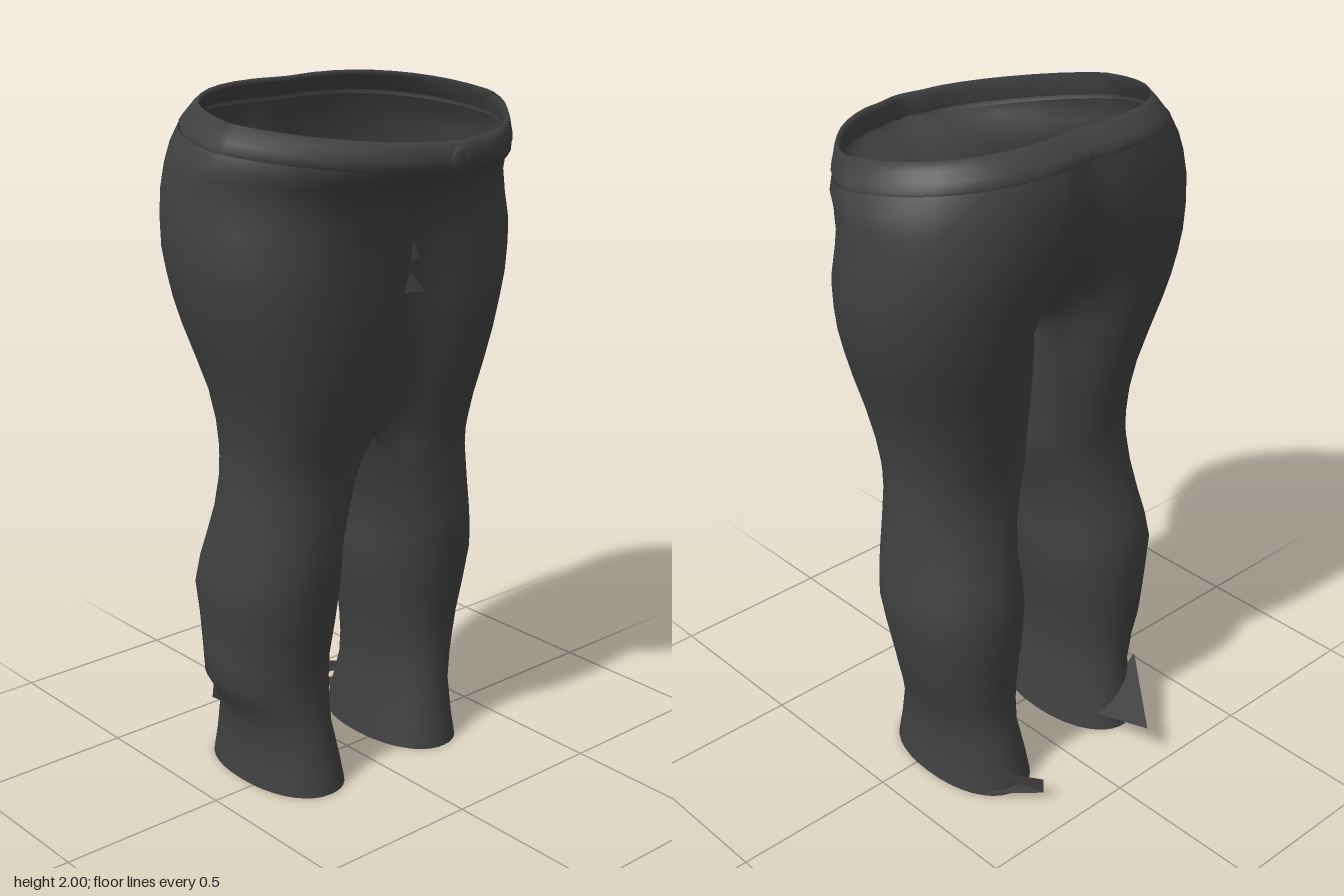
import * as THREE from 'three';
import { mergeVertices } from 'three/addons/utils/BufferGeometryUtils.js';

// Ring parameters: inner front, outer side, inner back, inner thigh (degrees)
const RING = [];
for (let i = 0; i < 5; i++) RING.push(130 - 8 * i);
for (let i = 0; i < 18; i++) RING.push(90 - 10 * i);
for (let i = 0; i < 5; i++) RING.push(-90 - 8 * i);
const OUTER = 28; // segments that exist on every row
for (let i = 0; i < 8; i++) RING.push(-130 - 12.5 * i);

const { lerp } = THREE.MathUtils;

// Point on a row: a leg oval blended into half of a torso outline.
// xi, xm, xo: inner, middle and outer x; zf, zb: front and back z;
// jf, jb: z on the centre line; wf, wb: blend to the torso at front and back
function ringPoint(row, k, side) {
  const { y, xi = 0, xm, xo, zf, zb, jf = 0, jb = 0, wf = 1, wb = 1, tilt = 0, power = 0.92 } = row;
  const deg = RING[k % RING.length];
  const a = THREE.MathUtils.degToRad(deg);
  const c = Math.cos(a), s = Math.sin(a);
  const p = s > 0 && c > 0 ? power : 0.92;
  const soft = (v) => Math.sign(v) * Math.pow(Math.abs(v), p);
  let x = xm + soft(c) * (c > 0 ? xo - xm : xm - xi);
  let z = (zf + zb) / 2 + soft(s) * (zf - zb) / 2;
  if (deg > 90 || (deg < -90 && deg >= -130)) {
    const u = (130 - Math.abs(deg)) / 40;
    const e = (1 - Math.cos(Math.PI * u)) / 2;
    const w = deg > 0 ? wf : wb;
    x = lerp(x, xm * u, w);
    z = lerp(z, deg > 0 ? lerp(jf, zf, e) : lerp(jb, zb, e), w);
  } else if (deg < -130) {
    const t = (-130 - deg) / 100;
    const w = lerp(wb, wf, t);
    x = lerp(x, 0, w);
    z = lerp(z, lerp(jb, jf, t), w);
  }
  // Loose fold on the outside of the right calf
  if (side < 0 && c > 0) x += 0.04 * c * c * Math.exp(-Math.pow((y - 0.33) / 0.08, 2));
  return [x * side, y - tilt * z, z];
}

// Loft both mirrored halves and weld them along the centre line
function loft(rows) {
  const pos = [];
  for (const side of [1, -1]) {
    for (let j = 0; j < rows.length - 1; j++) {
      const { wb = 1 } = rows[j];
      const count = wb < 1 ? RING.length : OUTER;
      for (let k = 0; k < count; k++) {
        const a = ringPoint(rows[j], k, side), b = ringPoint(rows[j], k + 1, side);
        const c = ringPoint(rows[j + 1], k + 1, side), d = ringPoint(rows[j + 1], k, side);
        if (side > 0) pos.push(...a, ...b, ...c, ...a, ...c, ...d);
        else pos.push(...a, ...c, ...b, ...a, ...d, ...c);
      }
    }
  }
  let geo = new THREE.BufferGeometry();
  geo.setAttribute('position', new THREE.Float32BufferAttribute(pos, 3));
  geo = mergeVertices(geo, 1e-4);
  geo.computeVertexNormals();
  return geo;
}

function flap(points) {
  const geo = new THREE.BufferGeometry();
  geo.setAttribute('position', new THREE.Float32BufferAttribute(points, 3));
  geo.computeVertexNormals();
  return geo;
}

export function createModel() {
  const group = new THREE.Group();
  const cloth = new THREE.MeshStandardMaterial({ color: 0x404040, side: THREE.DoubleSide });
  cloth.name = 'charcoal cloth';
  const add = (name, geo) => {
    const mesh = new THREE.Mesh(geo, cloth);
    mesh.name = name;
    group.add(mesh);
    return mesh;
  };

  // Lower legs: height, inner x, outer x, front z, back z
  const lower = [
    [0.005, 0.083, 0.367, 0.19, -0.3],
    [0.08, 0.095, 0.358, 0.175, -0.285],
    [0.19, 0.115, 0.355, 0.152, -0.26],
    [0.27, 0.112, 0.375, 0.143, -0.255],
    [0.33, 0.107, 0.393, 0.14, -0.258],
    [0.4, 0.1, 0.41, 0.142, -0.265],
    [0.5, 0.084, 0.43, 0.157, -0.272],
    [0.6, 0.072, 0.446, 0.17, -0.275],
    [0.67, 0.072, 0.437, 0.178, -0.262],
    [0.74, 0.076, 0.422, 0.182, -0.242],
    [0.84, 0.053, 0.41, 0.18, -0.212],
    [0.93, 0.024, 0.403, 0.178, -0.197],
  ].map(([y, xi, xo, zf, zb]) => ({ y, xi, xm: (xi + xo) / 2, xo, zf, zb, wf: 0, wb: 0 }));

  // Thighs, touching in front and parted behind: height, outer x, front z, back z
  const thighs = [
    [0.99, 0.402, 0.183, -0.195],
    [1.03, 0.403, 0.192, -0.197],
    [1.1, 0.41, 0.21, -0.205],
    [1.2, 0.432, 0.238, -0.225],
    [1.3, 0.467, 0.255, -0.252],
    [1.39, 0.498, 0.263, -0.278],
  ].map(([y, xo, zf, zb]) => ({
    y, xi: 0.002, xm: 0.21, xo, zf, zb,
    jf: zf - 0.08 + (y - 1) * 0.12, jb: -0.11,
    wf: y < 1 ? 0.3 : 1, wb: (y - 0.97) * 2,
  }));

  // Seat, hips and belly: height, middle x, outer x, front z, back z,
  // centre insets at front and back, tilt, front power
  const torso = [
    [1.46, 0.22, 0.517, 0.266, -0.293, -0.029, 0.133, 0, 0.92],
    [1.53, 0.22, 0.53, 0.266, -0.307, -0.021, 0.092, 0, 0.92],
    [1.6, 0.21, 0.54, 0.266, -0.32, -0.014, 0.058, 0, 0.94],
    [1.68, 0.19, 0.537, 0.268, -0.335, -0.004, 0.035, 0, 1],
    [1.75, 0.16, 0.533, 0.287, -0.345, 0.011, 0.02, 0.02, 1.08],
    [1.81, 0.13, 0.53, 0.335, -0.345, 0.025, 0.012, 0.06, 1.2],
    [1.85, 0.12, 0.522, 0.395, -0.342, 0.03, 0.012, 0.1, 1.32],
    [1.89, 0.11, 0.503, 0.425, -0.33, 0.025, 0.008, 0.135, 1.4],
  ].map(([y, xm, xo, zf, zb, df, db, tilt, power]) => (
    { y, xm, xo, zf, zb, jf: zf + df, jb: zb + db, tilt, power }));
  add('trouserLegsAndSeat', loft([...lower, ...thighs, ...torso]));

  // Waistband, dipping at the front and folded inwards at the rim
  const band = [
    [1.885, 0.498, 0.42, -0.325],
    [1.9, 0.5, 0.434, -0.33],
    [1.92, 0.484, 0.438, -0.318],
    [1.945, 0.472, 0.434, -0.296],
    [1.966, 0.464, 0.42, -0.268],
    [1.95, 0.457, 0.405, -0.27],
    [1.9, 0.483, 0.41, -0.312],
  ].map(([y, xo, zf, zb]) => (
    { y, xm: 0.11, xo, zf, zb, jf: zf + 0.024, jb: zb + 0.008, tilt: 0.13, power: 1.4 }));
  add('waistband', loft(band));

  // Overlap of the waistband at the centre front
  const tab = add('waistTab', new THREE.SphereGeometry(1, 14, 8));
  tab.scale.set(0.032, 0.032, 0.01);
  tab.position.set(-0.012, 1.862, 0.452);

  // Crumpled cloth at the bottom of the fly
  add('flyFolds', flap([
    -0.035, 1.48, 0.272, 0.04, 1.475, 0.272, 0.005, 1.53, 0.252,
    -0.005, 1.56, 0.268, 0.025, 1.57, 0.265, 0.015, 1.62, 0.25,
  ]));

  // Stray pointed flaps behind the hems
  add('rightHemFlap', flap([
    -0.33, 0.19, -0.235, -0.15, 0.055, -0.24, -0.155, 0.12, -0.46,
  ]));
  add('leftHemFlap', flap([
    0.32, 0.02, -0.26, 0.19, 0.02, -0.26, 0.205, 0.035, -0.385,
    0.32, 0.1, -0.25, 0.205, 0.035, -0.385, 0.205, 0.085, -0.385,
  ]));
  return group;
}
